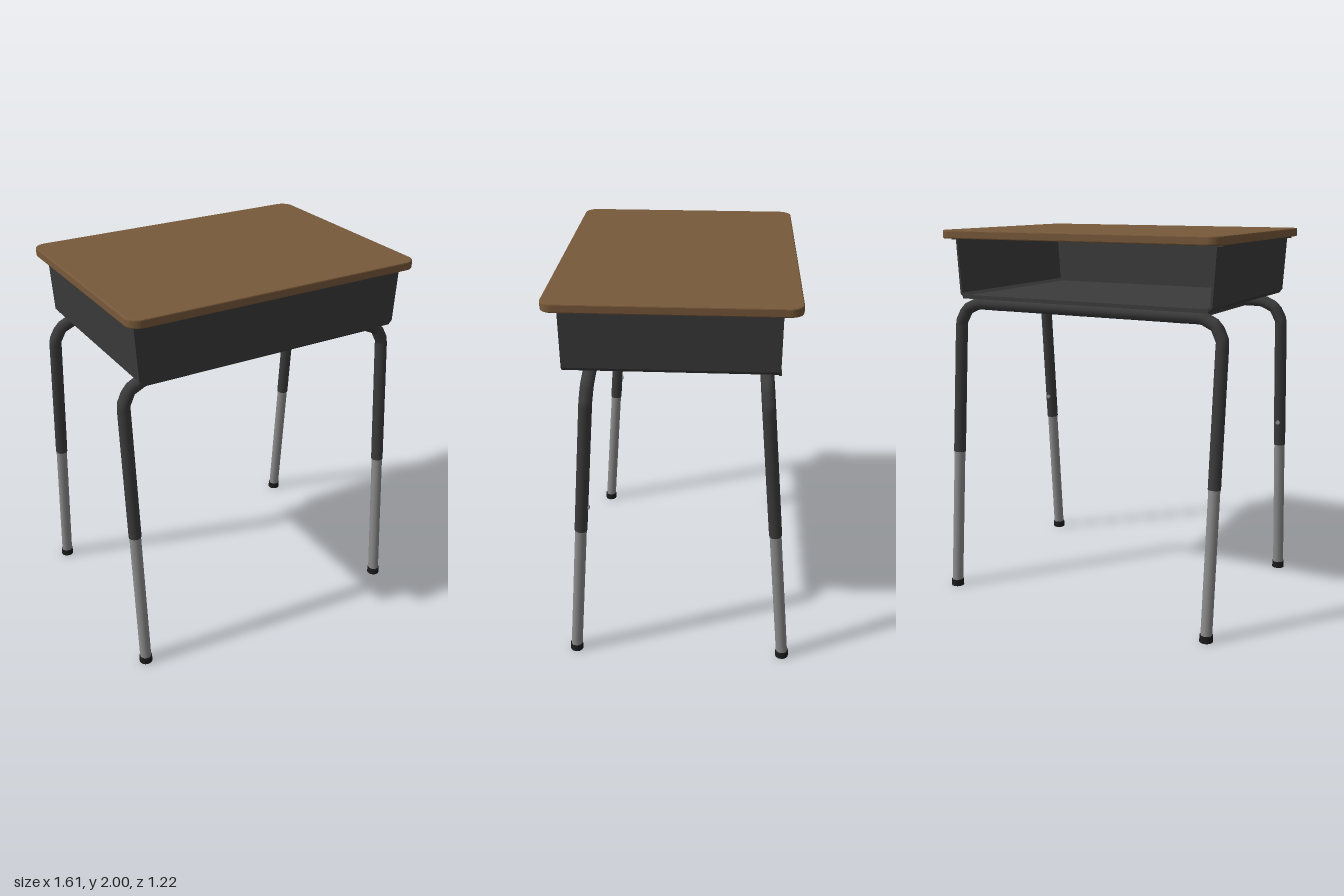
import * as THREE from 'three';

export function createModel() {
  const mat = (name, color, side = THREE.FrontSide) => {
    const m = new THREE.MeshStandardMaterial({ color, side });
    m.name = name;
    return m;
  };
  const wood = mat('brown wood', 0x78593a);
  const steel = mat('dark painted steel', 0x3b3b3b, THREE.DoubleSide);
  const chrome = mat('grey metal', 0x8c8c8c);
  const rubber = mat('black rubber', 0x1c1c1c);

  const desk = new THREE.Group();
  desk.name = 'schoolDesk';
  const add = (name, geometry, material, x = 0, y = 0, z = 0) => {
    const m = new THREE.Mesh(geometry, material);
    m.name = name;
    m.position.set(x, y, z);
    desk.add(m);
    return m;
  };
  const polygon = (pts) => new THREE.Shape(pts.map(([x, y]) => new THREE.Vector2(x, y)));

  // Table top: rounded rectangle with a slightly eased edge
  const bevel = 0.006, hw = 0.8 - bevel, hd = 0.6 - bevel, r = 0.06;
  const top = new THREE.Shape();
  top.moveTo(-hw + r, -hd);
  top.lineTo(hw - r, -hd);
  top.absarc(hw - r, -hd + r, r, -Math.PI / 2, 0);
  top.absarc(hw - r, hd - r, r, 0, Math.PI / 2);
  top.absarc(-hw + r, hd - r, r, Math.PI / 2, Math.PI);
  top.absarc(-hw + r, -hd + r, r, Math.PI, Math.PI * 1.5);
  const topGeo = new THREE.ExtrudeGeometry(top, {
    depth: 0.044 - 2 * bevel, bevelThickness: bevel, bevelSize: bevel, bevelSegments: 2, curveSegments: 6,
  });
  topGeo.rotateX(-Math.PI / 2);
  add('tableTop', topGeo, wood, 0, 1.956 + bevel, 0.01);

  // Book tray: folded sheet with flanges under the top, open at the back
  const outer = [[0.78, 1.956], [0.78, 1.948], [0.752, 1.948], [0.734, 1.66], [0.715, 1.64]];
  const inner = [[0.70, 1.65], [0.722, 1.665], [0.742, 1.956]];
  const mirror = (pts) => pts.map(([x, y]) => [-x, y]).reverse();
  const tray = polygon([...outer, ...mirror(outer), ...mirror(inner), ...inner]);
  add('trayFloorAndSides', new THREE.ExtrudeGeometry(tray, { depth: 1.02, bevelEnabled: false }), steel, 0, 0, -0.5);
  const wall = [[0.752, 1.955], [0.734, 1.66], [0.715, 1.64]];
  add('trayFront', new THREE.ExtrudeGeometry(polygon([...wall, ...mirror(wall)]),
    { depth: 0.012, bevelEnabled: false }), steel, 0, 0, 0.52);
  add('trayBackLip', new THREE.BoxGeometry(1.43, 0.02, 0.012), steel, 0, 1.645, -0.498);

  // Rails joining the two leg frames beneath the tray
  for (const s of [-1, 1]) {
    add('sideRail', new THREE.BoxGeometry(0.05, 0.066, 0.85), steel, s * 0.53, 1.604, -0.015);
  }

  // Leg frames: bent upper tube, straight lower legs and feet
  const up = new THREE.Vector3(0, 1, 0);
  for (const [side, topZ, footZ] of [['front', 0.41, 0.535], ['back', -0.44, -0.58]]) {
    const at = (x, y) => new THREE.Vector3(x, y, footZ + (topZ - footZ) * y / 1.605);
    const half = [[0.77, 0.775], [0.77, 1.5], [0.735, 1.57], [0.66, 1.605]];
    const pts = [...mirror(half).reverse(), ...half.slice().reverse()].map(([x, y]) => at(x, y));
    const path = new THREE.CurvePath();
    for (let i = 1; i < pts.length; i++) path.add(new THREE.LineCurve3(pts[i - 1], pts[i]));
    add(side + 'Frame', new THREE.TubeGeometry(path, 110, 0.033, 12), steel);

    for (const s of [-1, 1]) {
      const a = at(s * 0.77, 0.02), b = at(s * 0.77, 0.8);
      const mid = a.clone().add(b).multiplyScalar(0.5);
      const leg = add(side + 'LowerLeg', new THREE.CylinderGeometry(0.03, 0.03, a.distanceTo(b), 12), chrome, ...mid);
      leg.quaternion.setFromUnitVectors(up, b.clone().sub(a).normalize());
      const foot = at(s * 0.77, 0.018);
      add(side + 'Foot', new THREE.CylinderGeometry(0.034, 0.035, 0.036, 12), rubber, ...foot);

      // Height adjustment screw on the rear of each front leg
      if (side === 'front') {
        const p = at(s * 0.77, 0.91);
        const screw = add('adjustmentScrew', new THREE.CylinderGeometry(0.012, 0.012, 0.012, 8), chrome, p.x, p.y, p.z - 0.033);
        screw.rotation.x = Math.PI / 2;
      }
    }
  }
  return desk;
}
